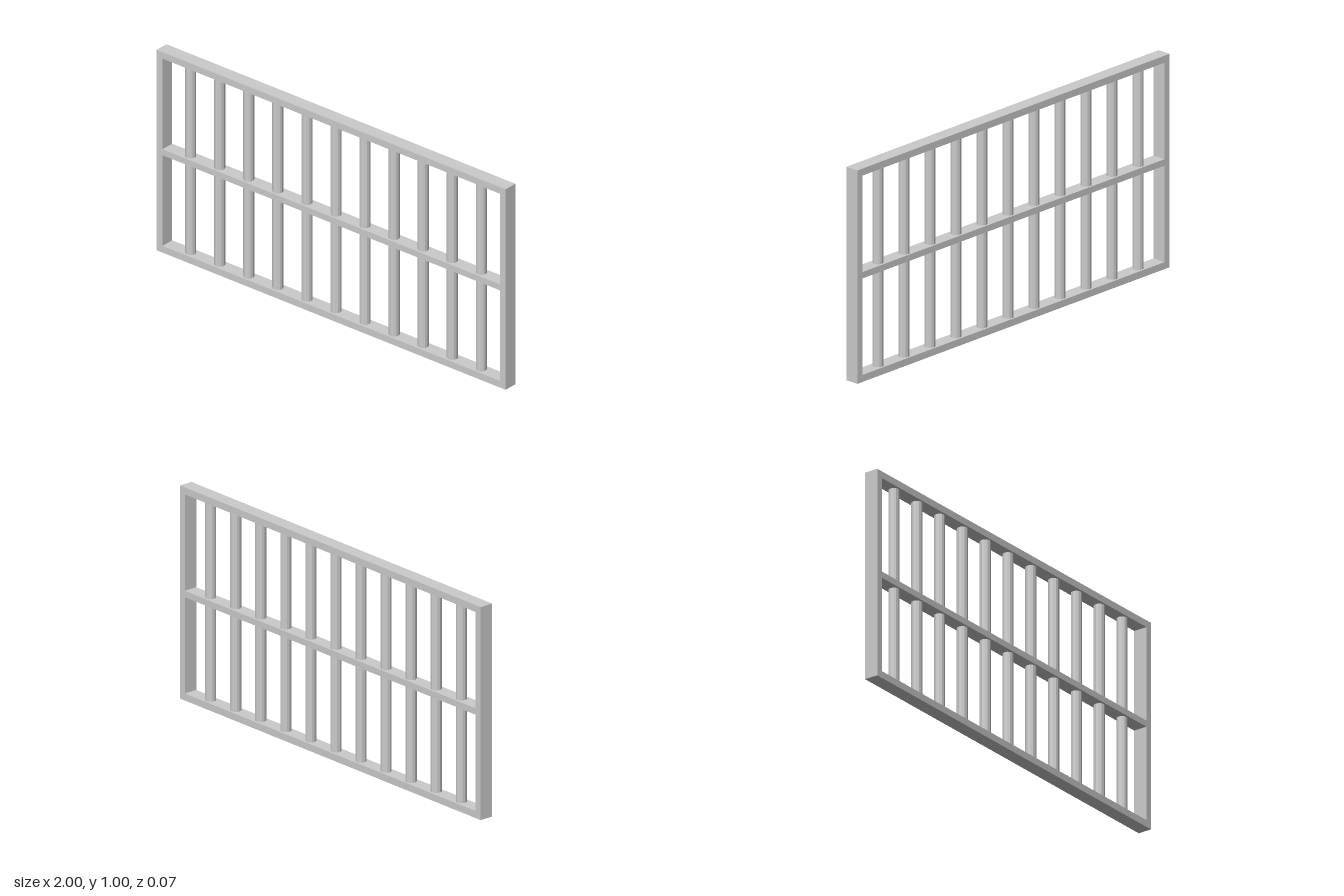
import * as THREE from 'three';

export function createModel() {
  const group = new THREE.Group();
  const material = new THREE.MeshStandardMaterial({ color: 0xcccccc, flatShading: true });
  const W = 2, H = 1, D = 0.067, T = 0.033;

  const add = (name, geometry, x, y) => {
    const mesh = new THREE.Mesh(geometry, material);
    mesh.name = name;
    mesh.position.set(x, y, 0);
    group.add(mesh);
  };

  // Outer frame: one rectangle with a rectangular opening
  const outline = new THREE.Shape([
    new THREE.Vector2(-W / 2, 0), new THREE.Vector2(W / 2, 0),
    new THREE.Vector2(W / 2, H), new THREE.Vector2(-W / 2, H),
  ]);
  outline.holes.push(new THREE.Path([
    new THREE.Vector2(-W / 2 + T, T), new THREE.Vector2(-W / 2 + T, H - T),
    new THREE.Vector2(W / 2 - T, H - T), new THREE.Vector2(W / 2 - T, T),
  ]));
  const frame = new THREE.ExtrudeGeometry(outline, { depth: D, bevelEnabled: false });
  frame.translate(0, 0, -D / 2);
  add('frame', frame, 0, 0);

  // Horizontal rail across the middle
  add('middleRail', new THREE.BoxGeometry(W - 2 * T, 0.03, D), 0, H / 2);

  // Evenly spaced round bars
  const bar = new THREE.CylinderGeometry(0.025, 0.025, H - 2 * T, 12);
  for (let i = -5; i <= 5; i++) add(`bar${i + 6}`, bar, i / 6, H / 2);

  return group;
}
